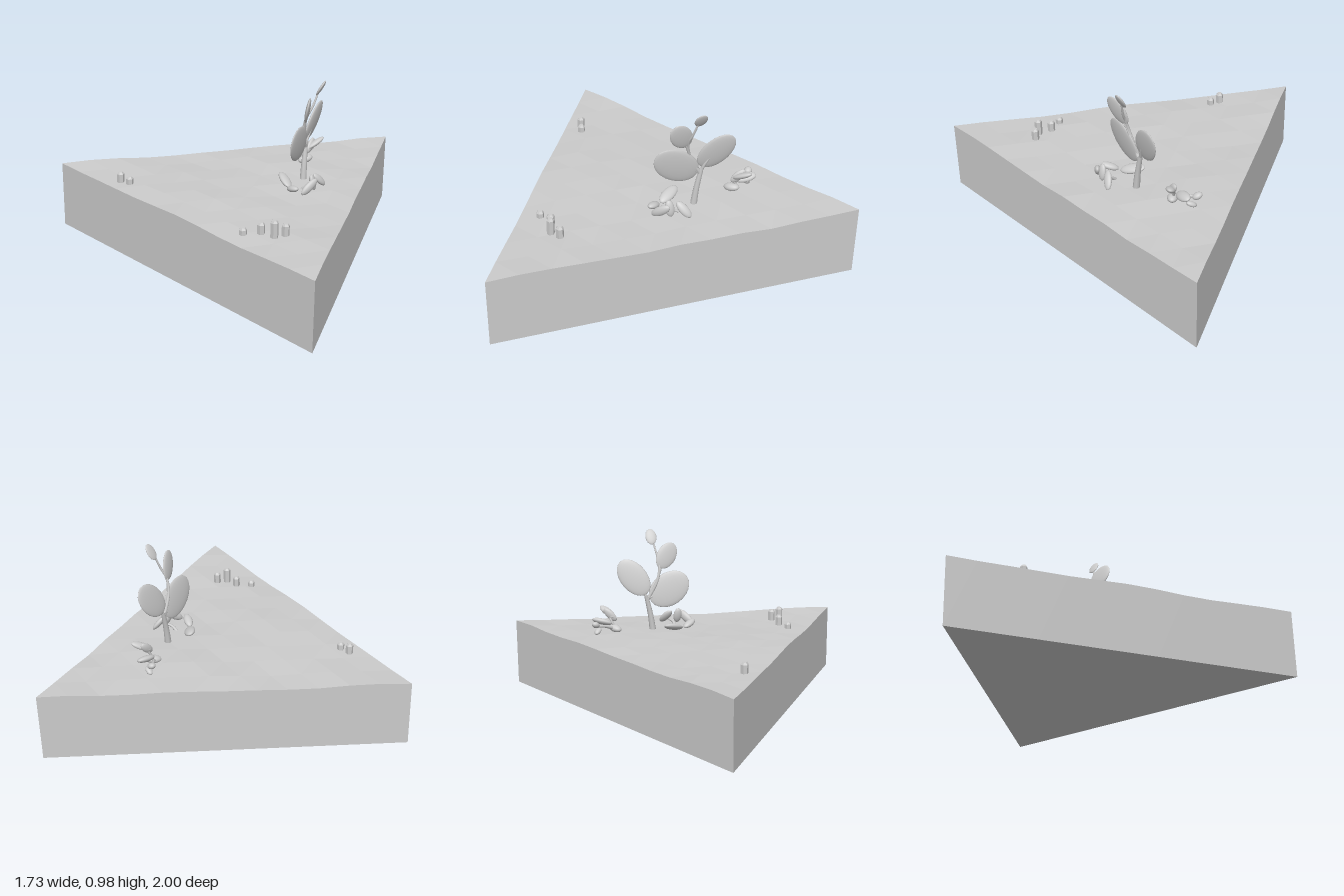
import * as THREE from 'three';

const smooth = new THREE.MeshStandardMaterial({ color: 0xcccccc });
const faceted = new THREE.MeshStandardMaterial({ color: 0xcccccc, flatShading: true });
const V = (p) => new THREE.Vector3(...p);

function add(group, name, geometry, material) {
  const mesh = new THREE.Mesh(geometry, material);
  mesh.name = name;
  group.add(mesh);
  return mesh;
}

// gentle bumps of the soil surface
function soilHeight(x, z) {
  return 0.389 + 0.005 * Math.sin(5.1 * x + 2.3 * z + 0.6) + 0.004 * Math.sin(7.7 * z - 4.2 * x)
    + 0.003 * Math.sin(23 * x + 17 * z);
}

// triangular block: faceted bumpy top, straight walls, flat base
function groundGeometry(n = 12) {
  const pos = [];
  const tri = (...corners) => corners.forEach((c) => pos.push(...c));
  const top = (i, j) => {
    const x = 0.866 * (2 * i / n - 1), z = (2 * j - i) / n;
    return [x, soilHeight(x, z), z];
  };
  const low = (p) => [p[0], 0, p[2]];
  for (let i = 0; i < n; i++) {
    for (let j = 0; j <= i; j++) {
      tri(top(i, j), top(i + 1, j + 1), top(i + 1, j));
      if (j < i) tri(top(i, j), top(i, j + 1), top(i + 1, j + 1));
    }
  }
  const rim = [];
  for (let i = 0; i < n; i++) rim.push(top(i, i));
  for (let j = n; j > 0; j--) rim.push(top(n, j));
  for (let i = n; i > 0; i--) rim.push(top(i, 0));
  rim.forEach((p, k) => {
    const q = rim[(k + 1) % rim.length];
    tri(low(p), low(q), q);
    tri(low(p), q, p);
  });
  tri(low(top(0, 0)), low(top(n, 0)), low(top(n, n)));
  const g = new THREE.BufferGeometry();
  g.setAttribute('position', new THREE.Float32BufferAttribute(pos, 3));
  g.computeVertexNormals();
  return g;
}

// flattened ellipsoid from base to tip; "facing" is roughly the flat side's normal
function addLeaf(group, name, base, tip, halfWidth, halfThick, facing = [1, 0, 0]) {
  const a = V(base), b = V(tip);
  const along = b.clone().sub(a);
  const half = along.length() / 2;
  along.normalize();
  const side = along.clone().cross(V(facing)).normalize();
  const normal = side.clone().cross(along);
  const leaf = add(group, name, new THREE.SphereGeometry(1, 20, 12), smooth);
  leaf.quaternion.setFromRotationMatrix(new THREE.Matrix4().makeBasis(side, along, normal));
  leaf.scale.set(halfWidth, half, halfThick);
  leaf.position.copy(a.add(b).multiplyScalar(0.5));
}

// stalk tapering from r0 to r1
function addStem(group, name, points, r0, r1) {
  const curve = new THREE.CatmullRomCurve3(points.map(V));
  const rows = 16, sides = 8;
  const g = new THREE.TubeGeometry(curve, rows, 1, sides);
  const p = g.attributes.position, v = new THREE.Vector3();
  for (let i = 0; i < p.count; i++) {
    const t = Math.floor(i / (sides + 1)) / rows;
    const c = curve.getPointAt(t);
    v.fromBufferAttribute(p, i).sub(c).multiplyScalar(r0 + (r1 - r0) * t).add(c);
    p.setXYZ(i, v.x, v.y, v.z);
  }
  add(group, name, g, smooth);
}

function tallPlant() {
  const g = new THREE.Group();
  g.name = 'tallPlant';
  addStem(g, 'mainStem', [[0.53, 0.37, -0.195], [0.53, 0.48, -0.21], [0.53, 0.6, -0.235]], 0.02, 0.012);
  addStem(g, 'upperStem', [[0.53, 0.57, -0.227], [0.53, 0.69, -0.165], [0.55, 0.78, -0.15],
    [0.575, 0.83, -0.16], [0.6, 0.91, -0.18]], 0.011, 0.005);
  addStem(g, 'leftMidrib', [[0.53, 0.58, -0.23], [0.525, 0.61, -0.15], [0.525, 0.655, -0.06]], 0.009, 0.004);
  addStem(g, 'rightMidrib', [[0.53, 0.59, -0.235], [0.545, 0.65, -0.26], [0.565, 0.73, -0.32]], 0.009, 0.004);
  addStem(g, 'topMidrib', [[0.535, 0.69, -0.165], [0.55, 0.77, -0.135], [0.565, 0.84, -0.105]], 0.007, 0.003);
  addLeaf(g, 'leftLeaf', [0.525, 0.56, -0.205], [0.515, 0.71, 0.01], 0.098, 0.014, [1, -0.25, 0]);
  addLeaf(g, 'rightLeaf', [0.525, 0.61, -0.23], [0.585, 0.8, -0.38], 0.08, 0.014);
  addLeaf(g, 'topLeaf', [0.545, 0.76, -0.15], [0.58, 0.9, -0.06], 0.058, 0.012);
  addLeaf(g, 'tipLeaf', [0.59, 0.895, -0.185], [0.638, 0.98, -0.195], 0.033, 0.009);
  return g;
}

// low clumps of small thick leaves: base, tip, half width, half thickness, facing
function clump(name, stems, leaves) {
  const g = new THREE.Group();
  g.name = name;
  stems.forEach((s) => addStem(g, 'stalk', s, 0.011, 0.006));
  leaves.forEach((l) => addLeaf(g, 'smallLeaf', ...l));
  return g;
}

// six-sided peg with a bevelled top
function addPeg(group, x, z, top) {
  const y = 0.37, r = 0.021;
  const profile = [[0, y], [r, y], [r, top - 0.012], [r * 0.6, top], [0, top]];
  const peg = add(group, 'peg', new THREE.LatheGeometry(profile.map((p) => new THREE.Vector2(...p)), 6), faceted);
  peg.position.set(x, 0, z);
}

export function createModel() {
  const model = new THREE.Group();
  add(model, 'ground', groundGeometry(), faceted);
  model.add(tallPlant());

  model.add(clump('frontClump',
    [[[0.54, 0.37, -0.06], [0.59, 0.41, -0.06], [0.63, 0.42, -0.08]]],
    [
      [[0.49, 0.4, -0.025], [0.415, 0.435, -0.14], 0.033, 0.018, [0.5, 1, 0]],
      [[0.49, 0.4, -0.01], [0.555, 0.43, 0.06], 0.025, 0.018, [0, 1, 0]],
      [[0.58, 0.4, 0.055], [0.645, 0.47, -0.02], 0.026, 0.018, [1, 0.4, 0]],
      [[0.61, 0.49, -0.025], [0.63, 0.4, -0.035], 0.025, 0.016, [1, 0, 0]],
      [[0.615, 0.475, -0.07], [0.668, 0.4, -0.13], 0.025, 0.016, [1, 0.5, 0]],
    ]));

  model.add(clump('backClump',
    [
      [[0.49, 0.37, -0.41], [0.49, 0.44, -0.44], [0.5, 0.48, -0.46]],
      [[0.49, 0.41, -0.42], [0.45, 0.44, -0.49], [0.42, 0.45, -0.55]],
    ],
    [
      [[0.455, 0.41, -0.4], [0.52, 0.425, -0.46], 0.028, 0.022, [0, 1, 0]],
      [[0.47, 0.45, -0.45], [0.5, 0.475, -0.565], 0.03, 0.018, [0.5, 1, 0]],
      [[0.495, 0.48, -0.43], [0.575, 0.535, -0.505], 0.026, 0.016, [-0.4, 1, 0]],
      [[0.5, 0.46, -0.42], [0.52, 0.53, -0.49], 0.024, 0.014, [1, 0.4, 0]],
      [[0.405, 0.47, -0.565], [0.445, 0.445, -0.535], 0.022, 0.018, [0, 1, 0]],
      [[0.43, 0.4, -0.55], [0.475, 0.425, -0.52], 0.018, 0.014, [0, 1, 0]],
    ]));

  const pegs = new THREE.Group();
  pegs.name = 'pegs';
  [[-0.44, 0.15, 0.445], [-0.38, 0.165, 0.43], [0.405, 0.61, 0.425], [0.49, 0.575, 0.45],
    [0.565, 0.595, 0.48], [0.615, 0.56, 0.455]].forEach((p) => addPeg(pegs, ...p));
  model.add(pegs);
  return model;
}
